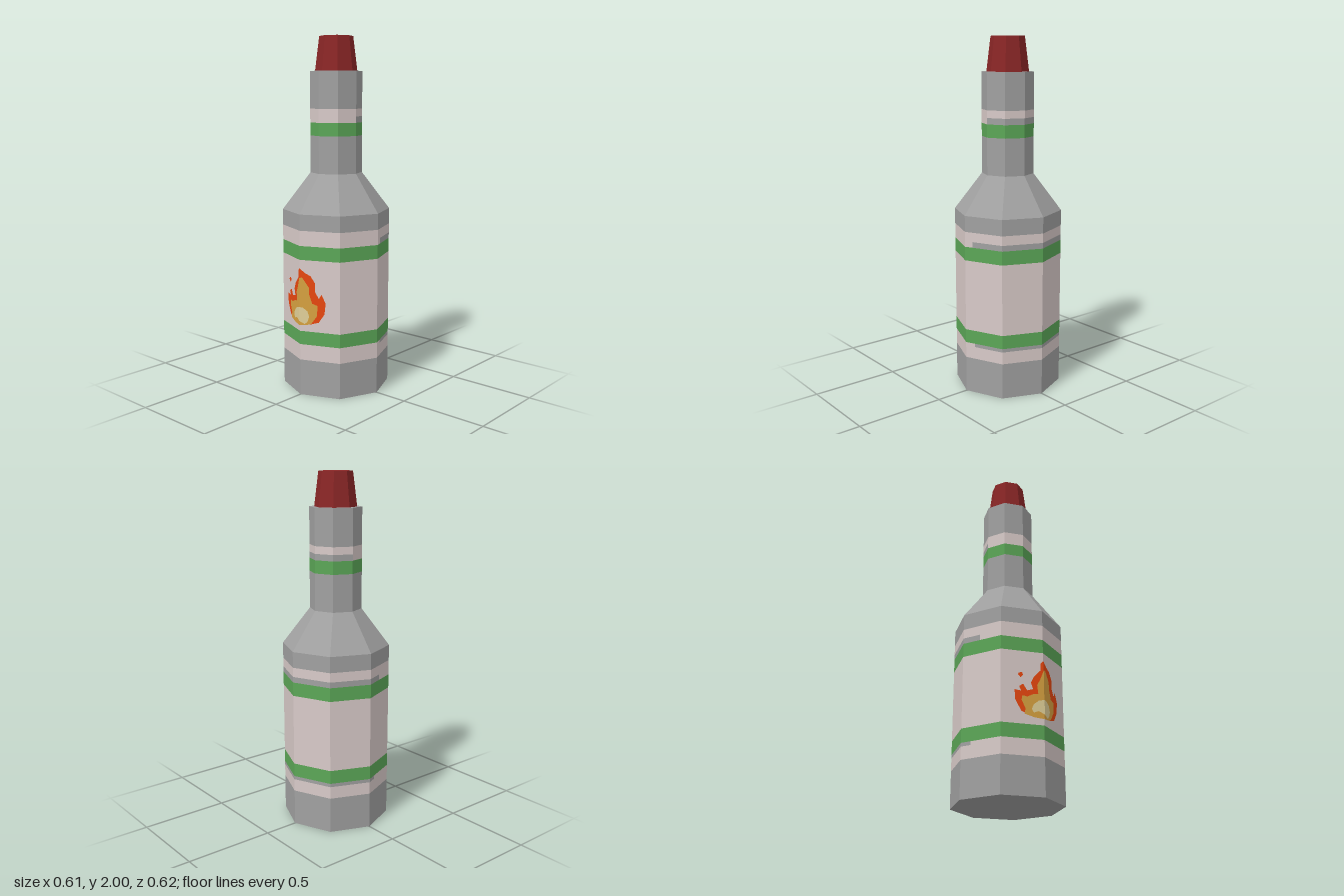
import * as THREE from 'three';

const paint = (name, color) => {
  const m = new THREE.MeshStandardMaterial({ color });
  m.name = name;
  return m;
};

const SIDES = 8;
const BODY = 0.306, NECK = 0.147;

// Point on the octagon outline: u counts sides from the front ridge towards +x
function outline(u, r) {
  const k = Math.floor(u), t = u - k;
  const corner = i => new THREE.Vector2(Math.sin(i * Math.PI * 2 / SIDES), Math.cos(i * Math.PI * 2 / SIDES));
  return corner(k).lerp(corner(k + 1), t).multiplyScalar(r);
}

// Faceted wall running from side position u0 to u1
function wall(r0, r1, y0, y1, u0 = 0, u1 = SIDES) {
  const stops = [u0];
  for (let k = Math.floor(u0) + 1; k < u1; k++) stops.push(k);
  stops.push(u1);
  const pos = [];
  for (let i = 0; i < stops.length - 1; i++) {
    const [a, b] = [outline(stops[i], r0), outline(stops[i + 1], r0)];
    const [c, d] = [outline(stops[i + 1], r1), outline(stops[i], r1)];
    pos.push(a.x, y0, a.y, b.x, y0, b.y, c.x, y1, c.y);
    pos.push(a.x, y0, a.y, c.x, y1, c.y, d.x, y1, d.y);
  }
  const g = new THREE.BufferGeometry();
  g.setAttribute('position', new THREE.Float32BufferAttribute(pos, 3));
  g.computeVertexNormals();
  return g;
}

// Flat octagonal disc facing up or down
function disc(r, y, up) {
  const g = new THREE.CircleGeometry(r, SIDES);
  g.rotateX(up ? -Math.PI / 2 : Math.PI / 2);
  return g.translate(0, y, 0);
}

// Flat outline folded over the front ridge; each half starts and ends on x = 0
function folded(points, lift) {
  const shape = new THREE.Shape(points.map(([x, y]) => new THREE.Vector2(x, y)));
  const g = new THREE.ShapeGeometry(shape);
  const p = g.attributes.position;
  for (let i = 0; i < p.count; i++) {
    p.setZ(i, BODY + lift - Math.abs(p.getX(i)) * Math.tan(Math.PI / SIDES));
  }
  g.computeVertexNormals();
  return g;
}

export function createModel() {
  const glass = paint('grey glass', 0xa0a0a0);
  const label = paint('pale label', 0xd8cac8);
  const green = paint('green stripe', 0x5ba657);
  const red = paint('red cap', 0x8a2626);
  const orange = paint('flame orange', 0xe8470f);
  const yellow = paint('flame yellow', 0xd6a040);
  const cream = paint('flame cream', 0xe0cf98);

  const model = new THREE.Group();
  model.name = 'bottle';
  const add = (name, geometry, material, parent = model) => {
    const mesh = new THREE.Mesh(geometry, material);
    mesh.name = name;
    parent.add(mesh);
  };

  // Full rings: name, lower radius, upper radius, bottom, top, material
  const rings = [
    ['bodyBase', BODY, BODY, 0, 0.205, glass],
    ['labelLowerEdge', BODY, BODY, 0.205, 0.275, label],
    ['lowerStripe', BODY, BODY, 0.295, 0.372, green],
    ['labelMiddle', BODY, BODY, 0.372, 0.777, label],
    ['upperStripe', BODY, BODY, 0.777, 0.855, green],
    ['labelUpperEdge', BODY, BODY, 0.887, 0.94, label],
    ['bodyTop', BODY, BODY, 0.94, 1.03, glass],
    ['shoulder', BODY, NECK, 1.03, 1.24, glass],
    ['neckLower', NECK, NECK, 1.24, 1.45, glass],
    ['neckStripe', NECK, NECK, 1.45, 1.523, green],
    ['neckLabel', NECK, NECK, 1.558, 1.6, label],
    ['neckUpper', NECK, NECK, 1.6, 1.808, glass],
    ['capSide', 0.119, 0.095, 1.808, 2, red],
  ];
  for (const [name, r0, r1, y0, y1, m] of rings) add(name, wall(r0, r1, y0, y1), m);

  // Rings that are label at the front and bare glass at the back
  const gaps = [
    ['lowerGap', BODY, 0.275, 0.295, 2.25, 6.25],
    ['upperGap', BODY, 0.855, 0.887, 2.2, 6.45],
    ['neckGap', NECK, 1.523, 1.558, 2, 6],
  ];
  for (const [name, r, y0, y1, u0, u1] of gaps) {
    add(name + 'Glass', wall(r, r, y0, y1, u0, u1), glass);
    add(name + 'Label', wall(r, r, y0, y1, u1, u0 + SIDES), label);
  }

  // End faces
  add('bottom', disc(BODY, 0, false), glass);
  add('neckRim', disc(NECK, 1.808, true), glass);
  add('capTop', disc(0.095, 2, true), red);

  // Flame emblem, in three thin layers
  const flame = new THREE.Group();
  flame.name = 'flame';
  model.add(flame);
  const layers = [
    ['flameOuter', orange, 0.002,
      [[0, 0.41], [0.06, 0.415], [0.105, 0.43], [0.135, 0.48], [0.142, 0.54], [0.12, 0.59],
        [0.105, 0.565], [0.085, 0.6], [0.085, 0.65], [0.06, 0.69], [0.03, 0.705], [0, 0.73]],
      [[0, 0.73], [-0.015, 0.715], [-0.015, 0.675], [-0.05, 0.635], [-0.065, 0.6], [-0.055, 0.565],
        [-0.085, 0.555], [-0.105, 0.59], [-0.125, 0.575], [-0.115, 0.55], [-0.148, 0.555],
        [-0.145, 0.5], [-0.115, 0.44], [-0.06, 0.415], [0, 0.41]]],
    ['flameMiddle', yellow, 0.004,
      [[0, 0.405], [0.04, 0.41], [0.065, 0.42], [0.095, 0.465], [0.1, 0.525], [0.07, 0.535],
        [0.052, 0.59], [0.052, 0.625], [0.035, 0.65], [0.015, 0.68], [0, 0.675]],
      [[0, 0.675], [-0.02, 0.62], [-0.035, 0.59], [-0.03, 0.54], [-0.06, 0.535], [-0.085, 0.52],
        [-0.11, 0.525], [-0.115, 0.5], [-0.095, 0.455], [-0.1, 0.425], [-0.05, 0.41], [0, 0.405]]],
    ['flameCore', cream, 0.006,
      [[0, 0.43], [0.03, 0.415], [0.045, 0.43], [0.055, 0.46], [0.045, 0.49], [0.02, 0.508], [0, 0.51]],
      [[0, 0.51], [-0.03, 0.502], [-0.055, 0.48], [-0.065, 0.455], [-0.055, 0.435], [-0.03, 0.445], [0, 0.43]]],
  ];
  for (const [name, m, lift, left, right] of layers) {
    add(name + 'Left', folded(left, lift), m, flame);
    add(name + 'Right', folded(right, lift), m, flame);
  }
  // Loose spark beside the flame
  add('spark', folded([[-0.13, 0.64], [-0.118, 0.625], [-0.105, 0.64], [-0.11, 0.655], [-0.128, 0.65]], 0.002), orange, flame);

  return model;
}
